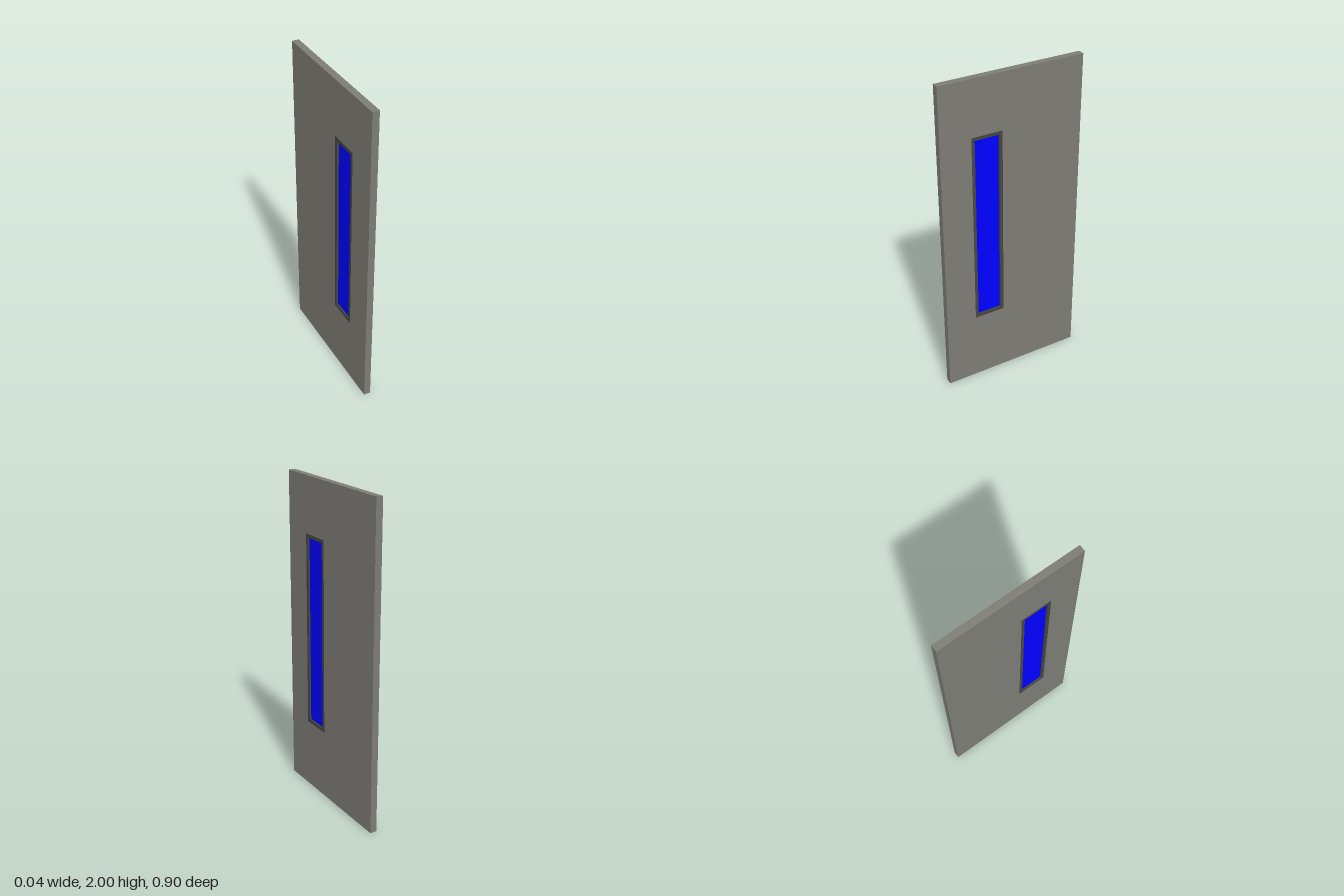
import * as THREE from 'three';

const THICKNESS = 0.042;

// Rectangle outline given as [z0, z1, y0, y1]
function trace(path, [z0, z1, y0, y1]) {
  path.moveTo(z0, y0);
  path.lineTo(z1, y0);
  path.lineTo(z1, y1);
  path.lineTo(z0, y1);
  path.closePath();
  return path;
}

// Flat panel in the z-y plane, centred on x = 0, with an optional opening
function panel(name, outer, hole, depth, color) {
  const shape = trace(new THREE.Shape(), outer);
  if (hole) shape.holes.push(trace(new THREE.Path(), hole));
  const geometry = new THREE.ExtrudeGeometry(shape, { depth, bevelEnabled: false });
  geometry.translate(0, 0, -depth / 2);
  geometry.rotateY(-Math.PI / 2);
  const mesh = new THREE.Mesh(geometry, new THREE.MeshStandardMaterial({ color }));
  mesh.name = name;
  return mesh;
}

export function createModel() {
  const group = new THREE.Group();
  group.name = 'door';

  const leaf = [-0.45, 0.45, 0, 2];
  const frame = [0.064, 0.258, 0.442, 1.658];
  const pane = [0.085, 0.238, 0.463, 1.637];

  group.add(
    panel('doorLeaf', leaf, frame, THICKNESS, 0x7d7c75),
    // Dark surround, flush with both faces of the leaf
    panel('windowFrame', frame, pane, THICKNESS, 0x454541),
    // Glass set back from both faces
    panel('windowPane', pane, null, 0.02, 0x0000ff),
  );
  return group;
}
